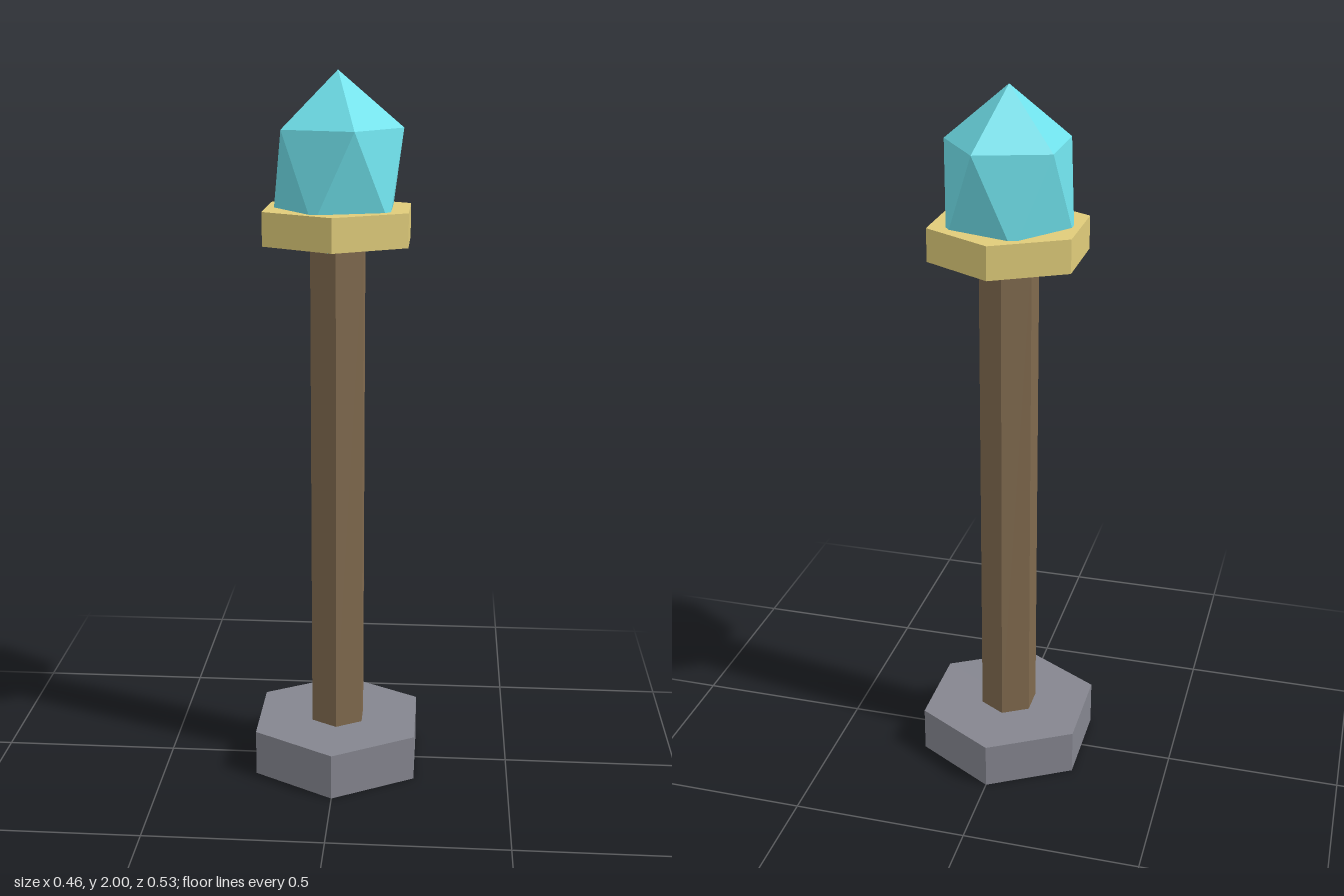
import * as THREE from 'three';

const GOLDEN = (1 + Math.sqrt(5)) / 2;

function addPart(group, name, geometry, color) {
  const material = new THREE.MeshStandardMaterial({ color, flatShading: true });
  const mesh = new THREE.Mesh(geometry, material);
  mesh.name = name;
  group.add(mesh);
  return mesh;
}

// Six-sided prism between two heights, with corners on the z axis
function hexPrism(radius, bottom, top) {
  return new THREE.CylinderGeometry(radius, radius, top - bottom, 6)
    .translate(0, (bottom + top) / 2, 0);
}

export function createModel() {
  const model = new THREE.Group();
  model.name = 'crystalPost';

  addPart(model, 'base', hexPrism(0.265, 0, 0.132), 0x85868f);
  addPart(model, 'shaft', hexPrism(0.084, 0.132, 1.56), 0x806a4e);
  addPart(model, 'collar', hexPrism(0.225, 1.545, 1.637), 0xe0cc7a);

  // Icosahedron stood on one corner, then stretched upwards
  const crystal = new THREE.IcosahedronGeometry(1, 0)
    .rotateZ(-Math.atan(1 / GOLDEN))
    .scale(0.198, 0.271, 0.198)
    .translate(0, 1.729, 0);
  addPart(model, 'crystal', crystal, 0x6fe0ea);

  return model;
}
